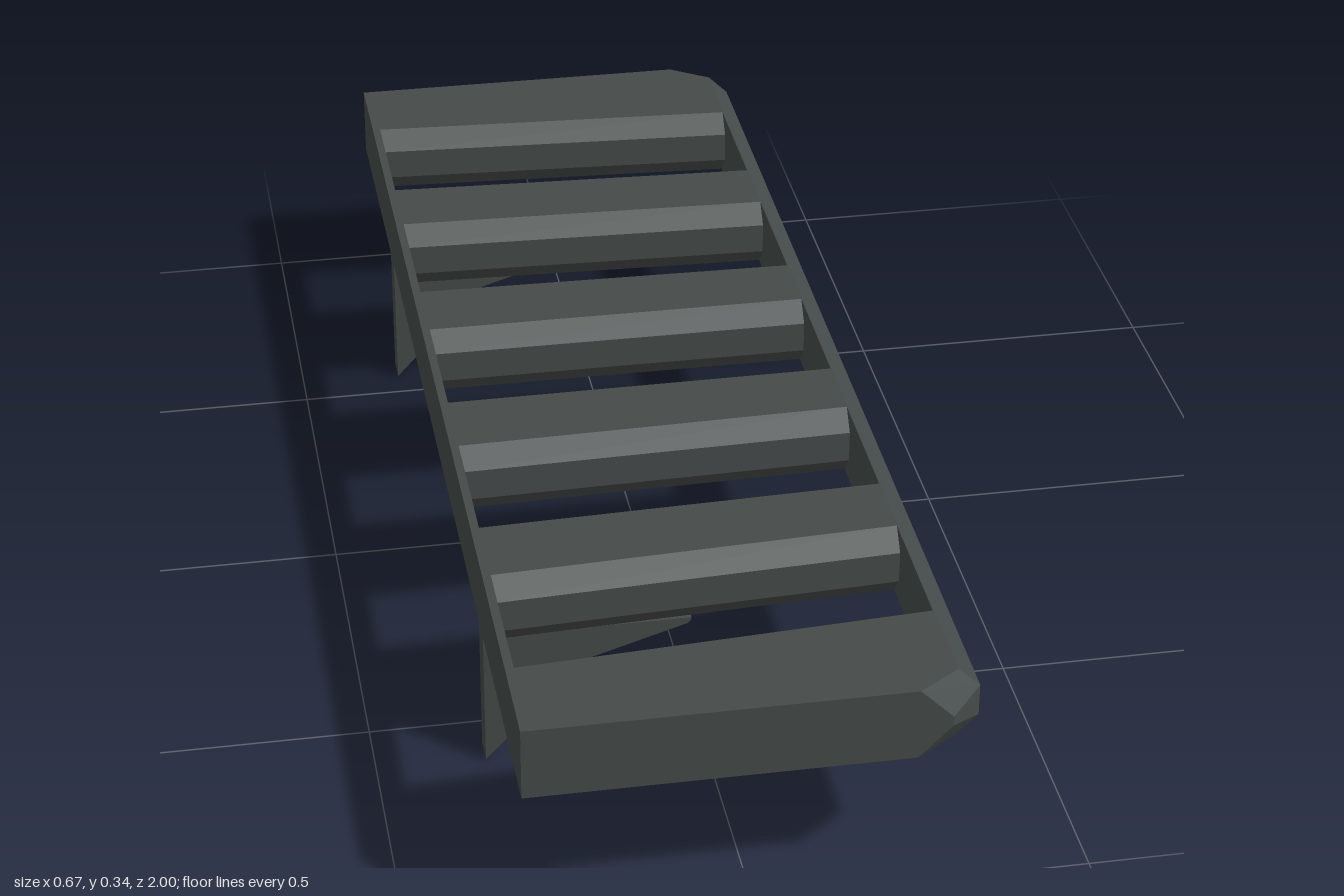
import * as THREE from 'three';
import { ConvexGeometry } from 'three/addons/geometries/ConvexGeometry.js';

const TOP = 0.34, BOTTOM = 0.225, BEVEL = 0.032;
const BACK = -0.333, FRONT = 0.333, INNER_BACK = -0.32, INNER_FRONT = 0.298;
const CORNER_Z = 0.955;

export function createModel() {
  const group = new THREE.Group();
  const darkMetal = new THREE.MeshStandardMaterial({ color: 0x454b4a });

  const add = (name, geometry) => {
    const mesh = new THREE.Mesh(geometry, darkMetal);
    mesh.name = name;
    group.add(mesh);
    return mesh;
  };
  const hull = (pts) => new ConvexGeometry(pts.map((p) => new THREE.Vector3(...p)));

  // Bevelled edge: dir is the way the edge faces along z
  const bevelEdge = (x, z, dir) => [
    [x, TOP, z - dir * 0.027], [x, TOP - BEVEL, z],
    [x, BOTTOM + BEVEL, z], [x, BOTTOM, z - dir * 0.027],
  ];

  // Prism extruded along z from an x/y outline
  const prism = (outline, z0, z1) => {
    const shape = new THREE.Shape(outline.map((p) => new THREE.Vector2(...p)));
    return new THREE.ExtrudeGeometry(shape, { depth: z1 - z0, bevelEnabled: false }).translate(0, 0, z0);
  };

  // Slightly fanned slats: [z min, z max] at the back, then at the front
  const slats = [
    [-0.64, -0.46, -0.61, -0.437],
    [-0.275, -0.095, -0.262, -0.092],
    [0.085, 0.27, 0.083, 0.257],
    [0.452, 0.635, 0.432, 0.605],
  ];
  slats.forEach(([b0, b1, f0, f1], i) => add(`slat${i + 1}`, hull([
    ...bevelEdge(INNER_BACK - 0.004, b0, -1), ...bevelEdge(INNER_BACK - 0.004, b1, 1),
    ...bevelEdge(INNER_FRONT + 0.002, f0, -1), ...bevelEdge(INNER_FRONT + 0.002, f1, 1),
  ])));

  // End blocks with a faceted outer corner
  const endBlock = (name, s, zBack, zFront) => {
    const pts = [
      ...bevelEdge(INNER_BACK, s * zBack, -s),
      ...bevelEdge(INNER_FRONT, s * zFront, -s),
      [BACK, TOP, s * (zBack + 0.03)], [BACK, BOTTOM, s * (zBack + 0.03)],
      [BACK, TOP, s], [BACK, BOTTOM, s],
      [0.235, TOP, s], [0.235, BOTTOM, s],
      [0.285, 0.29, s], [0.285, 0.275, s],
      [0.3, TOP, s * CORNER_Z], [0.3, BOTTOM, s * CORNER_Z],
    ];
    for (const z of [CORNER_Z, 0.85]) {
      pts.push([FRONT, TOP - BEVEL, s * z], [FRONT, BOTTOM + BEVEL, s * z]);
    }
    add(name, hull(pts));
  };
  endBlock('frontEndBlock', 1, 0.82, 0.78);
  endBlock('rearEndBlock', -1, 0.82, 0.785);

  // Bevelled long rail joining the slat tips
  add('noseRail', prism([
    [INNER_FRONT, BOTTOM], [0.3, BOTTOM], [FRONT, BOTTOM + BEVEL],
    [FRONT, TOP - BEVEL], [0.3, TOP], [INNER_FRONT, TOP],
  ], -CORNER_Z, CORNER_Z));

  // Thin wall along the back of the slats
  add('backWall', prism([
    [BACK, BOTTOM], [INNER_BACK, BOTTOM], [INNER_BACK, TOP], [BACK, TOP],
  ], -1, 1));

  // Two support brackets beneath
  const bracket = [
    [BACK, 0], [-0.18, 0.167], [-0.024, 0.215], [-0.019, 0.22],
    [-0.018, BOTTOM], [BACK, BOTTOM],
  ];
  add('frontBracket', prism(bracket, 0.555, 0.6));
  add('rearBracket', prism(bracket, -0.598, -0.553));

  return group;
}
